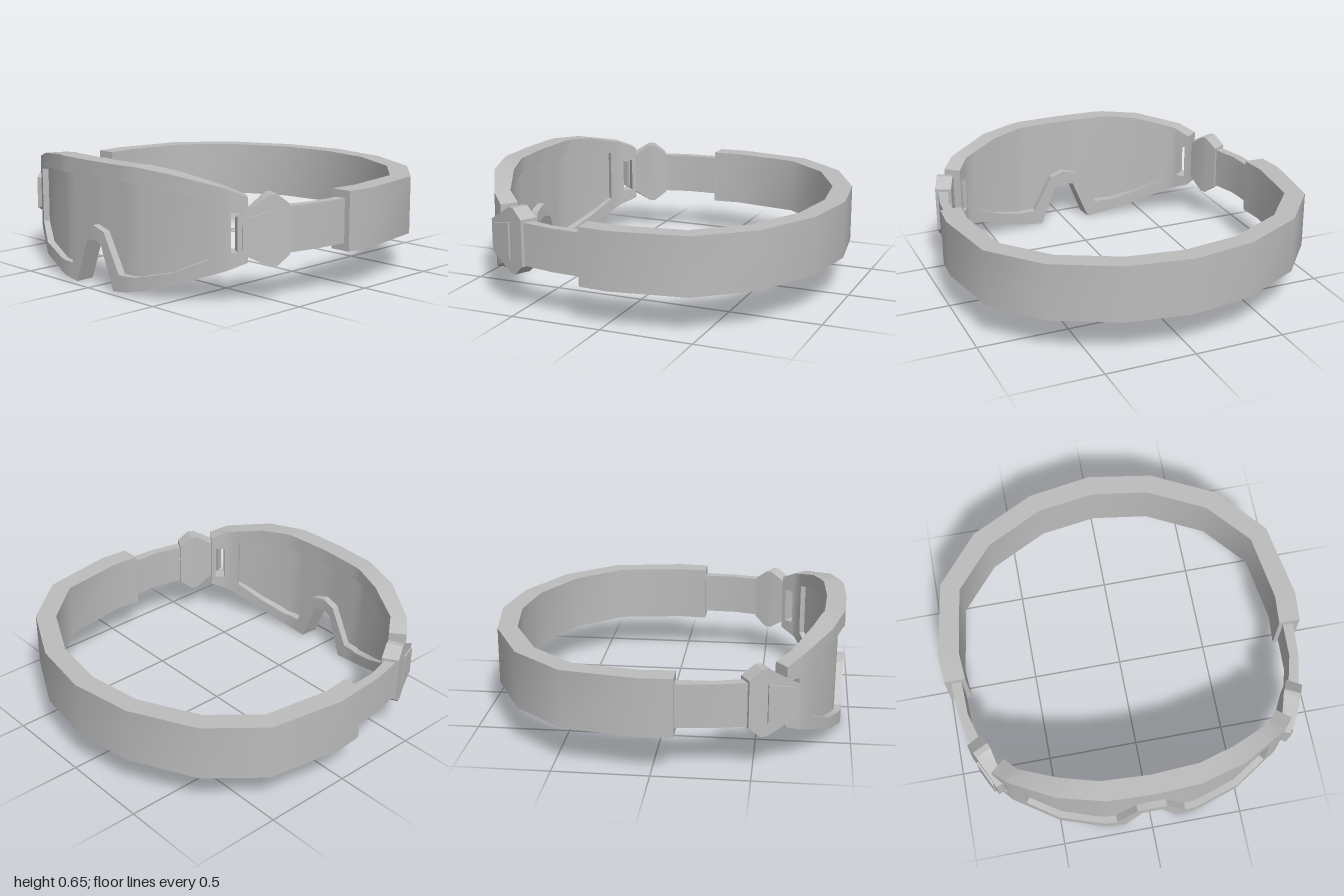
import * as THREE from 'three';
import { toCreasedNormals } from 'three/addons/utils/BufferGeometryUtils.js';

// Linear lookup in rows [u, a, b, ...]; returns the interpolated columns
function lookup(rows, u) {
  let i = 0;
  while (i < rows.length - 2 && u > rows[i + 1][0]) i++;
  const [p, q] = [rows[i], rows[i + 1]];
  const t = (u - p[0]) / (q[0] - p[0]);
  return p.slice(1).map((v, k) => v + (q[k + 1] - v) * t);
}

// Closed band through stations [outerX, outerZ, innerX, innerZ, yLow, yHigh]
function band(stations) {
  const pos = [];
  const rings = stations.map(([ox, oz, ix, iz, lo, hi]) =>
    [[ox, lo, oz], [ox, hi, oz], [ix, hi, iz], [ix, lo, iz]]);
  const quad = (a, b, c, d) => pos.push(...a, ...b, ...c, ...a, ...c, ...d);
  for (let i = 0; i < rings.length - 1; i++) {
    for (let k = 0; k < 4; k++) {
      const n = (k + 1) % 4;
      quad(rings[i][k], rings[i + 1][k], rings[i + 1][n], rings[i][n]);
    }
  }
  quad(...rings[0]);
  quad(...rings[rings.length - 1].slice().reverse());
  const g = new THREE.BufferGeometry();
  g.setAttribute('position', new THREE.Float32BufferAttribute(pos, 3));
  return toCreasedNormals(g, 0.6);
}

const mirror = (s) => s.map(([ox, oz, ix, iz, lo, hi]) => [-ox, oz, -ix, iz, lo, hi]).reverse();

// Bend of the frame: u, outer x, outer z, inner x, inner z
const BEND = [
  [0, 0, 0.96, 0, 0.855], [0.25, 0.25, 0.95, 0.265, 0.84], [0.5, 0.5, 0.88, 0.46, 0.78],
  [0.74, 0.74, 0.737, 0.67, 0.68], [0.81, 0.81, 0.66, 0.735, 0.6],
];
// Heights of the frame edge and of the lens opening
const TOP = [[0, 0.655], [0.3, 0.655], [0.5, 0.635], [0.74, 0.578], [0.81, 0.535]];
const BOTTOM = [[0, 0.25], [0.055, 0.235], [0.145, 0.003], [0.27, 0.018], [0.5, 0.08], [0.74, 0.175], [0.81, 0.215]];
const OPEN_TOP = [[0, 0.572], [0.3, 0.572], [0.5, 0.555], [0.665, 0.52]];
const OPEN_BOTTOM = [[0, 0.325], [0.08, 0.3], [0.19, 0.095], [0.3, 0.098], [0.5, 0.145], [0.665, 0.225]];
const SLOT_LOW = [[0, 0.265], [1, 0.265]];
const SLOT_HIGH = [[0, 0.46], [1, 0.46]];

// Frame stations between two height tables; t0..t1 is the share of the depth used
function frameStations(us, low, high, t0 = 0, t1 = 1) {
  return us.map((u) => {
    const [ox, oz, ix, iz] = lookup(BEND, u);
    const at = (t) => [ox + (ix - ox) * t, oz + (iz - oz) * t];
    return [...at(t0), ...at(t1), lookup(low, u)[0], lookup(high, u)[0]];
  });
}

export function createModel() {
  const grey = new THREE.MeshStandardMaterial({ color: 0xbcbcbc });
  grey.name = 'grey';
  const model = new THREE.Group();
  model.name = 'goggles';

  const add = (parent, name, stations) => {
    const mesh = new THREE.Mesh(band(stations), grey);
    mesh.name = name;
    parent.add(mesh);
  };
  const addPair = (parent, name, stations) => {
    add(parent, 'left' + name, stations);
    add(parent, 'right' + name, mirror(stations));
  };
  const group = (name) => {
    const g = new THREE.Group();
    g.name = name;
    model.add(g);
    return g;
  };
  const across = (half) => [...mirror(half).slice(0, -1), ...half];

  // Frame: rims above and below the opening, slotted panels at the sides
  const frame = group('frame');
  const us = [0, 0.055, 0.08, 0.145, 0.19, 0.25, 0.3, 0.5, 0.665];
  add(frame, 'upperRim', across(frameStations(us, OPEN_TOP, TOP)));
  add(frame, 'lowerRim', across(frameStations(us, BOTTOM, OPEN_BOTTOM)));
  addPair(frame, 'InnerPost', frameStations([0.665, 0.74, 0.755], BOTTOM, TOP));
  addPair(frame, 'SlotTop', frameStations([0.755, 0.793], SLOT_HIGH, TOP));
  addPair(frame, 'SlotBottom', frameStations([0.755, 0.793], BOTTOM, SLOT_LOW));
  addPair(frame, 'OuterPost', frameStations([0.793, 0.81], BOTTOM, TOP));

  // Lens set back inside the opening
  add(model, 'lens', across(frameStations(us, OPEN_BOTTOM, OPEN_TOP, 0.35, 0.6)));

  // Buckles hooked into the frame slots, each with a raised plate
  const buckles = group('buckles');
  addPair(buckles, 'Buckle', [
    [0.765, 0.705, 0.745, 0.665, 0.28, 0.44],
    [0.8, 0.722, 0.765, 0.665, 0.275, 0.45],
    [0.875, 0.57, 0.795, 0.53, 0.19, 0.546],
    [0.889, 0.54, 0.807, 0.5, 0.19, 0.546],
    [0.917, 0.48, 0.837, 0.435, 0.245, 0.495],
  ]);
  addPair(buckles, 'BucklePlate', [
    [0.821, 0.705, 0.8, 0.69, 0.285, 0.435],
    [0.885, 0.575, 0.86, 0.565, 0.26, 0.465],
  ]);

  // Narrow straps running back from the buckles
  const straps = group('straps');
  addPair(straps, 'NarrowStrap', [
    [0.9, 0.48, 0.85, 0.45, 0.25, 0.48],
    [0.94, 0.3, 0.89, 0.3, 0.25, 0.48],
    [0.955, 0.115, 0.897, 0.115, 0.25, 0.48],
    [0.957, 0.08, 0.897, 0.08, 0.25, 0.48],
  ]);

  // Wide padded strap around the back
  const side = [
    [0.987, 0.117, 0.872, 0.117], [1, -0.045, 0.885, -0.04], [0.93, -0.457, 0.83, -0.405],
    [0.7, -0.73, 0.625, -0.645], [0.35, -0.907, 0.31, -0.805], [0, -0.963, 0, -0.85],
  ].map((s) => [...s, 0.21, 0.52]);
  add(straps, 'rearStrap', [...side, ...mirror(side).slice(1)]);

  return model;
}
